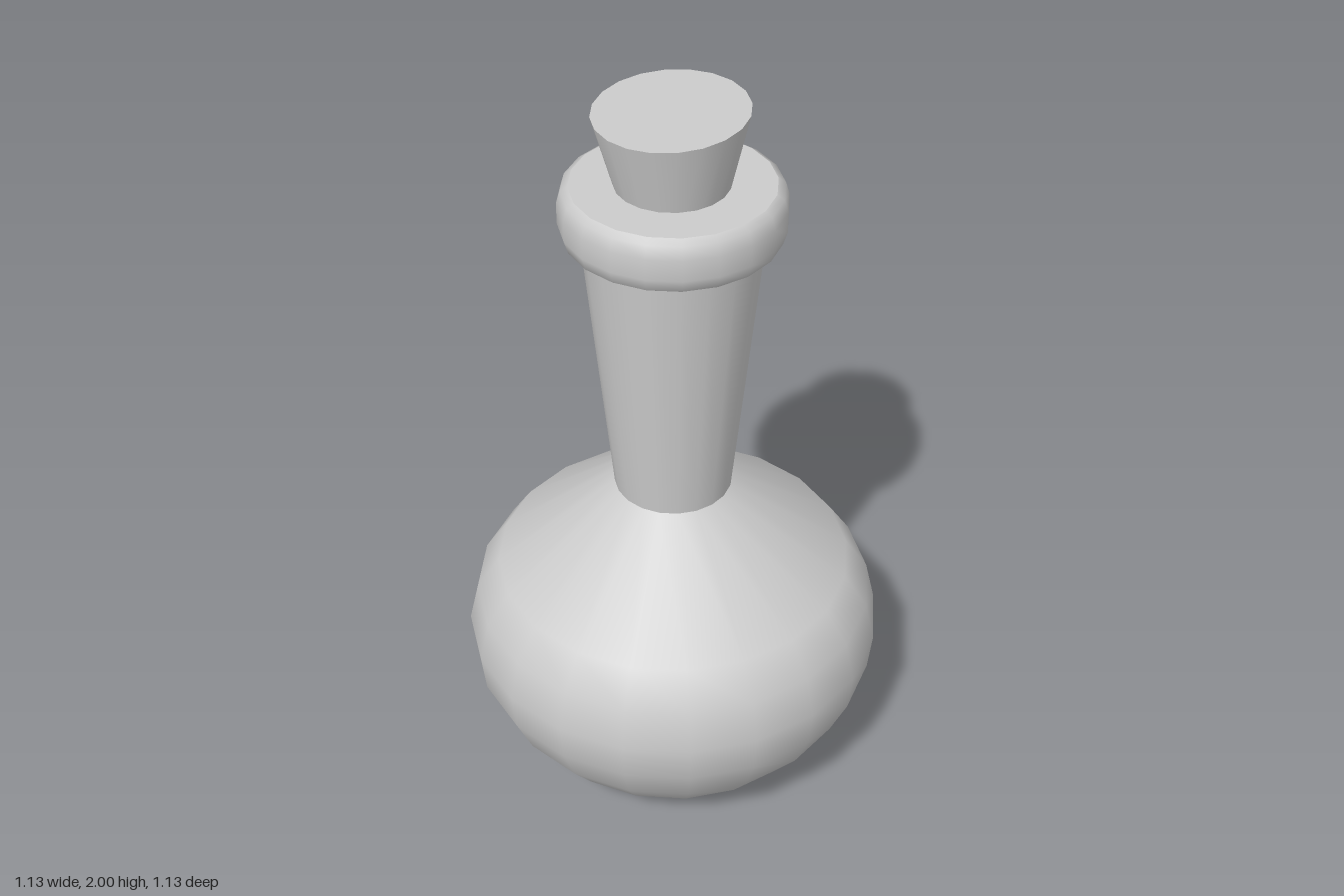
import * as THREE from 'three';

const SIDES = 20;
const material = new THREE.MeshStandardMaterial({ color: 0xcccccc });

// Each profile is a smooth band from bottom to top; separate bands keep the edge between them sharp.
function turned(name, profiles) {
  const part = new THREE.Group();
  part.name = name;
  for (const profile of profiles) {
    const points = profile.map(([r, y]) => new THREE.Vector2(r, y));
    const band = new THREE.Mesh(new THREE.LatheGeometry(points, SIDES), material);
    band.name = name + 'Surface';
    part.add(band);
  }
  return part;
}

// Tapered stopper with a slightly slanted top
function makeCork() {
  const bottom = 1.72, top = 1.988;
  const geometry = new THREE.CylinderGeometry(0.19, 0.122, top - bottom, SIDES);
  geometry.translate(0, (top + bottom) / 2, 0);
  const pos = geometry.attributes.position;
  for (let i = 0; i < pos.count; i++) {
    if (pos.getY(i) < top - 0.01) continue;
    const x = pos.getX(i), z = pos.getZ(i);
    pos.setXYZ(i, x - 0.008, top + 0.025 * x - 0.058 * z, z - 0.003);
  }
  geometry.computeBoundingSphere();
  const cork = new THREE.Mesh(geometry, material);
  cork.name = 'cork';
  return cork;
}

export function createModel() {
  const model = new THREE.Group();
  model.name = 'corkedFlask';

  // Round belly with a conical shoulder and a flat base
  model.add(turned('body', [
    [[0, 0], [0.2, 0.005]],
    [[0.2, 0.005], [0.3, 0.025], [0.37, 0.063], [0.432, 0.127], [0.505, 0.225], [0.552, 0.335],
      [0.563, 0.444], [0.537, 0.556], [0.474, 0.65], [0.155, 0.905]],
  ]));

  // Neck flaring upward
  model.add(turned('neck', [[[0.155, 0.905], [0.229, 1.67]]]));

  // Rounded collar around the mouth
  model.add(turned('lip', [
    [[0.2, 1.655], [0.252, 1.655]],
    [[0.252, 1.655], [0.27, 1.667], [0.28, 1.7], [0.28, 1.755], [0.27, 1.788], [0.252, 1.8]],
    [[0.252, 1.8], [0, 1.8]],
  ]));

  model.add(makeCork());
  return model;
}
